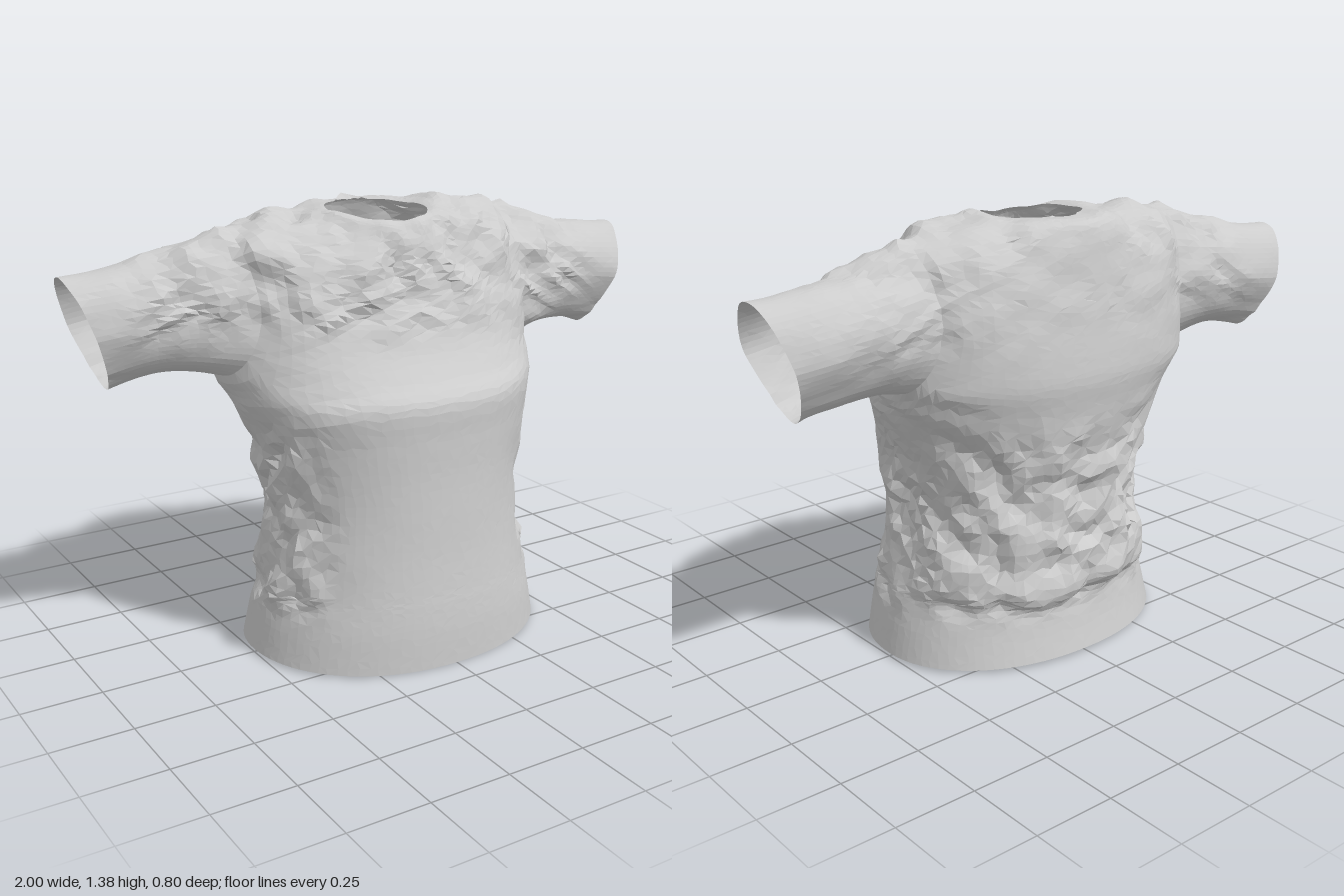
import * as THREE from 'three';

const COLS = 88, STEPS = 4, HALF = 8, SLEEVE_RINGS = 16;

// Body sections, hem to collar: half width, side z, side y, front z, front y, back z, back y
const SECTIONS = [
  [0.50, 0.00, 0.02, 0.40, 0.01, -0.365, 0.02],
  [0.48, 0.00, 0.12, 0.395, 0.12, -0.34, 0.12],
  [0.46, 0.00, 0.20, 0.387, 0.20, -0.335, 0.19],
  [0.45, 0.00, 0.25, 0.38, 0.25, -0.38, 0.24],
  [0.43, 0.00, 0.36, 0.367, 0.36, -0.37, 0.36],
  [0.415, 0.00, 0.48, 0.358, 0.48, -0.355, 0.48],
  [0.43, 0.00, 0.60, 0.35, 0.60, -0.36, 0.60],
  [0.465, -0.02, 0.72, 0.348, 0.72, -0.375, 0.72],
  [0.51, -0.06, 0.82, 0.345, 0.83, -0.388, 0.82],
  [0.54, -0.11, 0.90, 0.29, 0.89, -0.40, 0.90], // bottom of the armhole
  [0.55, -0.13, 1.02, 0.235, 0.96, -0.395, 0.97],
  [0.55, -0.13, 1.14, 0.20, 1.03, -0.385, 1.04],
  [0.54, -0.13, 1.25, 0.175, 1.09, -0.375, 1.11],
  [0.50, -0.125, 1.335, 0.165, 1.14, -0.36, 1.18], // top of the armhole
  [0.40, -0.115, 1.355, 0.15, 1.20, -0.35, 1.25],
  [0.30, -0.11, 1.37, 0.13, 1.26, -0.34, 1.31],
  [0.21, -0.10, 1.385, 0.11, 1.32, -0.315, 1.36],
  [0.155, -0.08, 1.365, 0.09, 1.345, -0.235, 1.37],
];
const ARM_LOW = 9 * STEPS, ARM_TOP = 13 * STEPS, ARM_MID = 11 * STEPS;
const ROWS = (SECTIONS.length - 1) * STEPS;

const { lerp, clamp, smoothstep } = THREE.MathUtils;
const wrap = (c) => (c + COLS) % COLS;
const power = (v, p) => Math.sign(v) * Math.abs(v) ** p;

// Smooth value noise in -1..1
function hash(x, y, z) {
  const s = Math.sin(x * 127.1 + y * 311.7 + z * 74.7) * 43758.5453;
  return (s - Math.floor(s)) * 2 - 1;
}
function noise(x, y, z) {
  const i = Math.floor(x), j = Math.floor(y), k = Math.floor(z);
  const f = (t) => t * t * (3 - 2 * t);
  const u = f(x - i), v = f(y - j), w = f(z - k);
  const row = (b, c) => lerp(hash(i, b, c), hash(i + 1, b, c), u);
  const slab = (c) => lerp(row(j, c), row(j + 1, c), v);
  return lerp(slab(k), slab(k + 1), w);
}

// Cloth folds: where they gather, and which way they run
function fold(x, y, z) {
  const ax = Math.abs(x);
  const hemFade = smoothstep(y, 0.13, 0.24);
  const waist = hemFade * (1 - smoothstep(y, 0.6, 0.88));
  const side = smoothstep(ax, 0.27, 0.4) * (1 - smoothstep(z, 0.12, 0.3));
  const back = 1 - smoothstep(z, -0.25, -0.1);
  const chest = smoothstep(y, 0.95, 1.12) * (0.25 + 0.75 * smoothstep(z, -0.36, -0.15));
  const sleeve = 1 - 0.85 * smoothstep(ax, 0.6, 0.9);
  const collar = smoothstep(Math.hypot(x, z + 0.08), 0.14, 0.24);
  const amount = Math.max(waist * Math.max(side, back), chest * sleeve * (0.3 + 0.7 * collar));
  const upper = smoothstep(y, 0.78, 1);
  const drift = y + lerp(-0.4, 0.5, upper) * ax - lerp(0.9, 0.2, upper) * z;
  const across = noise(x * 4 + 9, drift * 14, z * 4);
  const ridge = 0.45 - Math.abs(across) * 1.6;
  const crumple = noise(x * 17, y * 15 + 4, z * 14);
  const soft = noise(x * 4, drift * 9 + 30, z * 4) * 0.008 * hemFade * smoothstep(ax, 0.2, 0.4);
  return amount * (0.02 * ridge + 0.022 * crumple) + soft;
}

// Smooth body surface over fractional row and column
function bodyPoint(row, col) {
  const last = SECTIONS.length - 1;
  const k = clamp(Math.floor(row / STEPS), 0, last - 1), t = row / STEPS - k;
  const [p, q, r, n] = [-1, 0, 1, 2].map((i) => SECTIONS[clamp(k + i, 0, last)]);
  const s = q.map((v, i) => v + 0.5 * t * (r[i] - p[i]
    + t * (2 * p[i] - 5 * v + 4 * r[i] - n[i] + t * (3 * (v - r[i]) + n[i] - p[i]))));
  const a = (col / COLS) * Math.PI * 2, sin = Math.sin(a);
  const [zEnd, yEnd] = sin > 0 ? [s[3], s[4]] : [s[5], s[6]];
  return [
    s[0] * power(Math.cos(a), 0.92),
    lerp(s[2], yEnd, sin * sin),
    lerp(s[1], zEnd, Math.abs(sin) ** 0.95),
  ];
}

// Grid position bent so that the armholes are round, with uneven cloth facets elsewhere
function clothPoint(r, c) {
  const centre = c > COLS / 4 && c < COLS * 0.75 ? COLS / 2 : c >= COLS * 0.75 ? COLS : 0;
  const u = (c - centre) / HALF, v = (r - ARM_MID) / (ARM_TOP - ARM_MID);
  const m = Math.max(Math.abs(u), Math.abs(v), 1e-6);
  const near = clamp(2 - m, 0, 1);
  const bend = (other) => 1 - near * (1 - Math.sqrt(1 - (other / m) ** 2 / 2));
  const loose = r > 0 && r < ROWS ? 0.3 * (1 - near) : 0;
  const point = bodyPoint(
    ARM_MID + v * bend(u) * (ARM_TOP - ARM_MID) + loose * hash(r, c, 1),
    centre + u * bend(v) * HALF + loose * hash(r, c, 2));
  // small notch at the back of the collar
  if (r === ROWS && point[2] < -0.1) {
    const notch = Math.max(0, 1 - Math.abs(point[0]) / 0.06);
    point[1] += 0.018 * notch;
    point[2] -= 0.055 * notch;
  }
  return point;
}

export function createModel() {
  const points = [], bodyIndex = [];
  const quad = (list, a, out, next, both) => {
    if ((a + next) % 3) list.push(a, out, next, next, out, both);
    else list.push(a, out, both, a, both, next);
  };

  // Body tube, left open at the armholes
  for (let r = 0; r <= ROWS; r++) {
    for (let c = 0; c < COLS; c++) {
      points.push(clothPoint(r, c));
      const fromArm = Math.min(
        Math.abs(((c + 0.5 + COLS / 2) % COLS) - COLS / 2),
        Math.abs(c + 0.5 - COLS / 2));
      const inHole = r >= ARM_LOW && r < ARM_TOP && fromArm < HALF;
      if (r === ROWS || inHole) continue;
      const a = r * COLS + c, n = r * COLS + wrap(c + 1);
      quad(bodyIndex, a, a + COLS, n, n + COLS);
    }
  }

  // Sleeve grown from the rim of an armhole to a slanted, egg-shaped cuff
  function sleeve(centre, side) {
    const rim = [], index = [];
    const at = (r, c) => rim.push(r * COLS + wrap(centre + c));
    for (let c = -HALF; c < HALF; c++) at(ARM_LOW, c);
    for (let r = ARM_LOW; r < ARM_TOP; r++) at(r, HALF);
    for (let c = HALF; c > -HALF; c--) at(ARM_TOP, c);
    for (let r = ARM_TOP; r > ARM_LOW; r--) at(r, -HALF);
    let last = rim;
    for (let k = 1; k <= SLEEVE_RINGS; k++) {
      const ring = rim.map((id, j) => {
        const loose = k < SLEEVE_RINGS ? 0.3 * hash(k, j, side) : 0;
        const t = (k + loose) / SLEEVE_RINGS, w = 1 - (1 - t) ** 2;
        const [x, y, z] = points[id];
        const a = Math.atan2((y - 1.11) / 0.21, (z + 0.115) / 0.17);
        const sin = Math.sin(a), bulge = Math.sin(Math.PI * t);
        const egg = 1 - 0.25 * Math.max(0, -sin);
        points.push([
          lerp(x, side * (0.94 + 0.06 * sin), t),
          lerp(y, 1.063 + 0.172 * sin, w) + 0.03 * bulge * (0.6 - 0.4 * sin),
          lerp(z, -0.145 + 0.125 * Math.cos(a) * egg, w) + 0.018 * bulge * Math.cos(a),
        ]);
        return points.length - 1;
      });
      ring.forEach((id, j) => {
        const n = (j + 1) % ring.length;
        quad(index, last[j], id, last[n], ring[n]);
      });
      last = ring;
    }
    return index;
  }
  const leftIndex = sleeve(0, 1), rightIndex = sleeve(COLS / 2, -1);

  // Push the whole cloth along its normals to form the folds
  const cloth = new THREE.BufferGeometry();
  cloth.setAttribute('position', new THREE.Float32BufferAttribute(points.flat(), 3));
  cloth.setIndex([...bodyIndex, ...leftIndex, ...rightIndex]);
  cloth.computeVertexNormals();
  const pos = cloth.attributes.position, nor = cloth.attributes.normal;
  points.forEach(([x, y, z], i) => {
    const d = fold(x, y, z);
    pos.setXYZ(i, x + nor.getX(i) * d, y + nor.getY(i) * d, z + nor.getZ(i) * d);
  });

  const material = new THREE.MeshStandardMaterial({
    color: 0xcccccc, flatShading: true, side: THREE.DoubleSide,
  });
  const shirt = new THREE.Group();
  shirt.name = 'shirt';
  const parts = { body: bodyIndex, leftSleeve: leftIndex, rightSleeve: rightIndex };
  for (const [name, index] of Object.entries(parts)) {
    const part = new THREE.Mesh(cloth.clone().setIndex(index).toNonIndexed(), material);
    part.geometry.computeVertexNormals();
    part.name = name;
    shirt.add(part);
  }
  return shirt;
}
